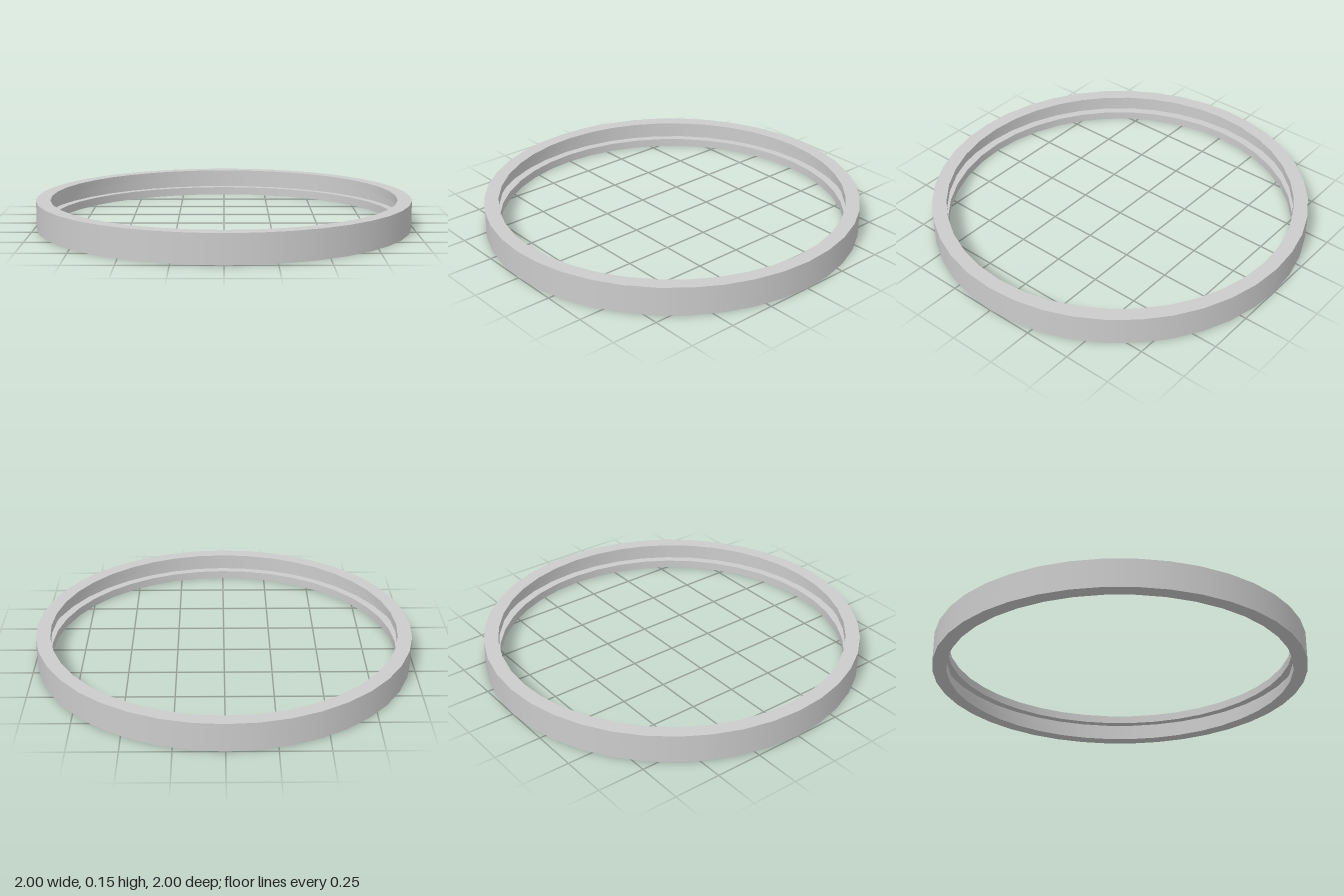
import * as THREE from 'three';
import { mergeGeometries } from 'three/addons/utils/BufferGeometryUtils.js';

const SEGMENTS = 40;
const OUTER = 1, INNER = 0.925, GROOVE = 0.97;
const HEIGHT = 0.15, GROOVE_LOW = 0.045, GROOVE_HIGH = 0.105;

// Lathe each profile edge separately: smooth around the ring, sharp between faces
function sharpLathe(profile) {
  const bands = profile.map((p, i) => {
    const q = profile[(i + 1) % profile.length];
    return new THREE.LatheGeometry([new THREE.Vector2(...p), new THREE.Vector2(...q)], SEGMENTS);
  });
  return mergeGeometries(bands);
}

export function createModel() {
  const model = new THREE.Group();
  model.name = 'groovedRing';

  // Closed cross-section: outer wall, top rim, then the inner wall with its groove
  const profile = [
    [OUTER, 0],
    [OUTER, HEIGHT],
    [INNER, HEIGHT],
    [INNER, GROOVE_HIGH],
    [GROOVE, GROOVE_HIGH],
    [GROOVE, GROOVE_LOW],
    [INNER, GROOVE_LOW],
    [INNER, 0],
  ];
  const ring = new THREE.Mesh(
    sharpLathe(profile),
    new THREE.MeshStandardMaterial({ color: 0xcccccc })
  );
  ring.name = 'ring';
  model.add(ring);
  return model;
}
